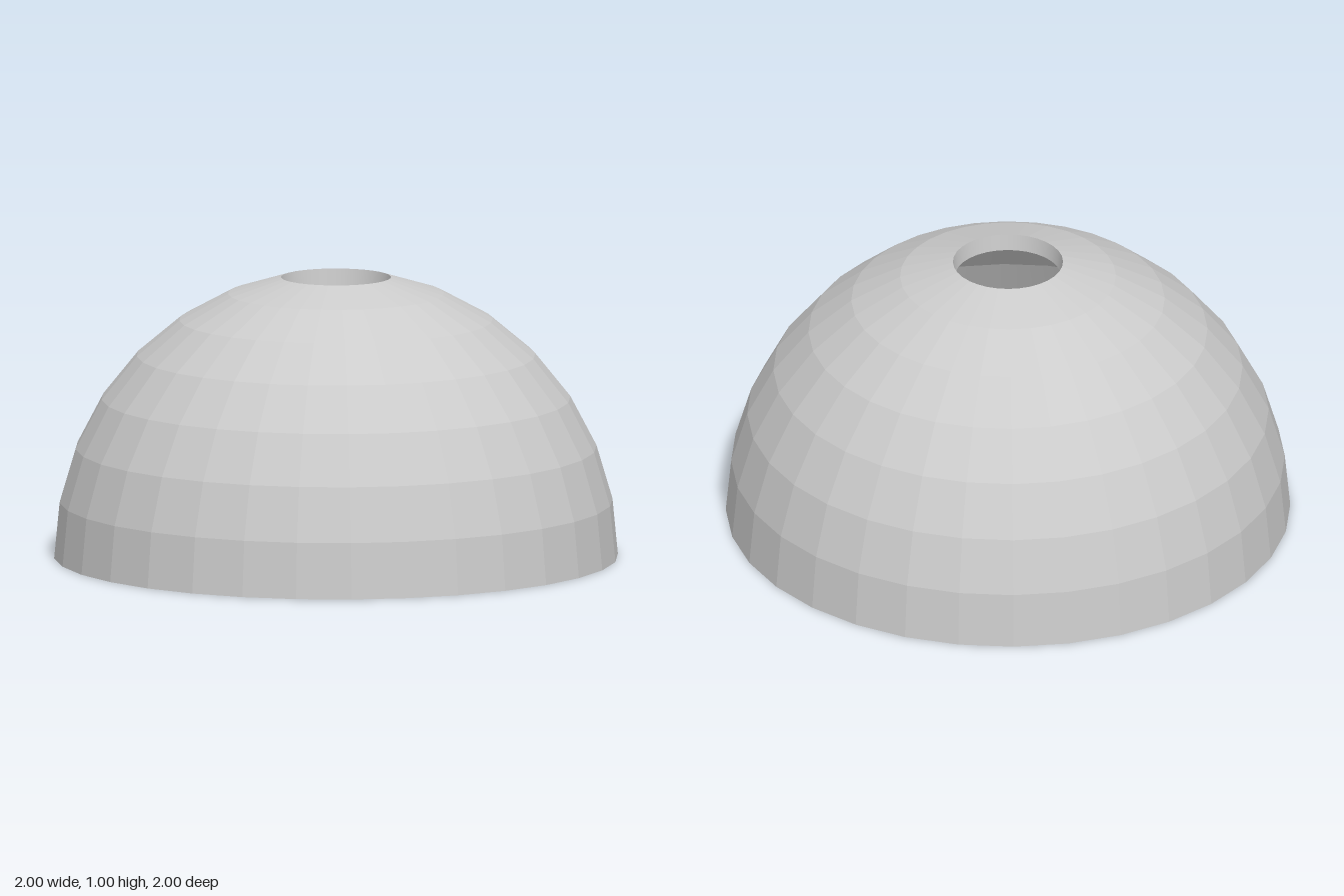
import * as THREE from 'three';

const SIDES = 32;       // panels around the dome
const BANDS = 7;        // rings from the base to the top opening
const STEP = Math.PI / 16;
const TOP = Math.sin(BANDS * STEP);

// Points of the dome's curve from base to opening
function domeProfile(radius, height) {
  return Array.from({ length: BANDS + 1 }, (_, i) => new THREE.Vector2(
    Math.cos(i * STEP) * radius, Math.sin(i * STEP) / TOP * height
  ));
}

function revolve(name, points, flatShading = false) {
  const material = new THREE.MeshStandardMaterial({ color: 0xcccccc, flatShading });
  const mesh = new THREE.Mesh(new THREE.LatheGeometry(points, SIDES), material);
  mesh.name = name;
  return mesh;
}

export function createModel() {
  const group = new THREE.Group();
  group.name = 'openDome';

  // The shell is thicker at the opening than at the base
  const outer = domeProfile(1, 1);
  const inner = domeProfile(0.966, 0.94);

  // Faceted outside
  group.add(revolve('outerShell', outer, true));

  // Inside: each band is smooth around, with a sharp edge to the next
  const lining = new THREE.Group();
  lining.name = 'innerShell';
  for (let i = 0; i < BANDS; i++) {
    lining.add(revolve('innerBand', [inner[i + 1], inner[i]]));
  }
  group.add(lining);

  // Wall of the top opening and flat rim at the base
  group.add(revolve('openingWall', [outer[BANDS], inner[BANDS]]));
  group.add(revolve('bottomRim', [inner[0], outer[0]]));

  return group;
}
